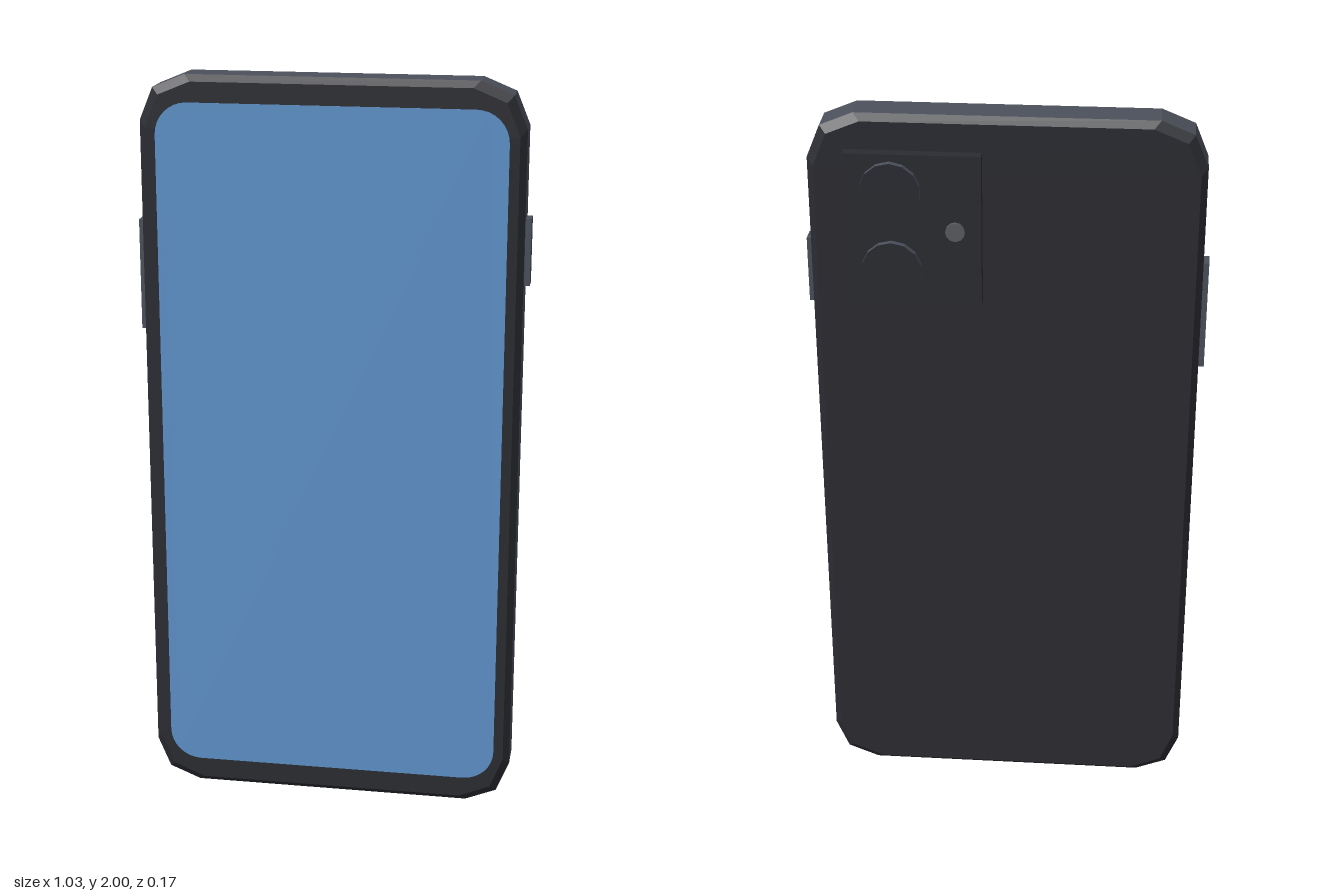
import * as THREE from 'three';

const mat = (name, color, flatShading = false) => {
  const m = new THREE.MeshStandardMaterial({ color });
  m.name = name;
  m.flatShading = flatShading;
  return m;
};

// Outline of the body, counter-clockwise, shrunk by an inset; each corner has two facets
function outline(inset, z) {
  const w = 0.5 - inset, h = 1 - inset;
  const corner = [[w, h - 0.12], [w - 0.035, h - 0.035], [w - 0.12, h]];
  const mirror = (sx, sy) => corner.map(([x, y]) => [sx * x, sy * y]);
  return [
    ...mirror(1, 1), ...mirror(-1, 1).reverse(),
    ...mirror(-1, -1), ...mirror(1, -1).reverse(),
  ].map(([x, y]) => new THREE.Vector3(x, y + 1, z));
}

function trianglesToGeometry(points) {
  const g = new THREE.BufferGeometry().setFromPoints(points);
  g.computeVertexNormals();
  return g;
}

// Wall between a back ring and a front ring
function band(back, front) {
  return back.flatMap((a, i) => {
    const j = (i + 1) % back.length;
    return [a, back[j], front[j], a, front[j], front[i]];
  });
}

// Flat fan closing a ring
function cap(ring, facingFront) {
  const out = [];
  for (let i = 1; i < ring.length - 1; i++) {
    out.push(ring[0], ...(facingFront ? [ring[i], ring[i + 1]] : [ring[i + 1], ring[i]]));
  }
  return out;
}

function roundedRect(w, h, r) {
  const s = new THREE.Shape();
  s.absarc(w - r, h - r, r, 0, Math.PI / 2);
  s.absarc(-w + r, h - r, r, Math.PI / 2, Math.PI);
  s.absarc(-w + r, -h + r, r, Math.PI, Math.PI * 1.5);
  s.absarc(w - r, -h + r, r, Math.PI * 1.5, Math.PI * 2);
  return s;
}

export function createModel() {
  const model = new THREE.Group();
  model.name = 'phone';
  const dark = mat('dark casing', 0x2b2c32, true);
  const metal = mat('metal rail', 0x4b505b, true);
  const blue = mat('screen blue', 0x5f93cb);
  const flash = mat('flash grey', 0x5a5d62);

  const add = (name, geometry, material, x = 0, y = 0, z = 0) => {
    const mesh = new THREE.Mesh(geometry, material);
    mesh.name = name;
    mesh.position.set(x, y, z);
    model.add(mesh);
    return mesh;
  };

  // Body: dark chamfered front and back, lighter rail between them
  const rings = [[0.017, -0.039], [0, -0.022], [0, 0.063], [0.017, 0.08]]
    .map(([inset, z]) => outline(inset, z));
  add('backPanel', trianglesToGeometry([...cap(rings[0], false), ...band(rings[0], rings[1])]), dark);
  add('sideRail', trianglesToGeometry(band(rings[1], rings[2])), metal);
  add('frontBezel', trianglesToGeometry([...band(rings[2], rings[3]), ...cap(rings[3], true)]), dark);

  // Screen plate
  const screen = new THREE.ExtrudeGeometry(roundedRect(0.457, 0.928, 0.085),
    { depth: 0.003, bevelEnabled: false, curveSegments: 4 });
  add('screen', screen, blue, 0, 1.002, 0.0785);

  // Side buttons
  add('powerButton', new THREE.BoxGeometry(0.03, 0.175, 0.046), metal, 0.5, 1.5625, 0.022);
  add('volumeButton', new THREE.BoxGeometry(0.03, 0.295, 0.046), metal, -0.5, 1.4675, 0.022);

  // Camera island
  add('cameraPlate', new THREE.BoxGeometry(0.346, 0.4, 0.035), dark, 0.232, 1.71, -0.0505);

  // Lenses and flash
  const disc = (name, r, depth, sides, materials, x, y) => {
    const g = new THREE.CylinderGeometry(r, r, depth, sides).rotateX(-Math.PI / 2);
    add(name, g, materials, x, y, -0.066 - depth / 2);
  };
  disc('upperLens', 0.077, 0.018, 14, [metal, dark, dark], 0.287, 1.815);
  disc('lowerLens', 0.077, 0.018, 14, [metal, dark, dark], 0.287, 1.603);
  disc('flash', 0.025, 0.01, 12, flash, 0.125, 1.71);

  return model;
}
